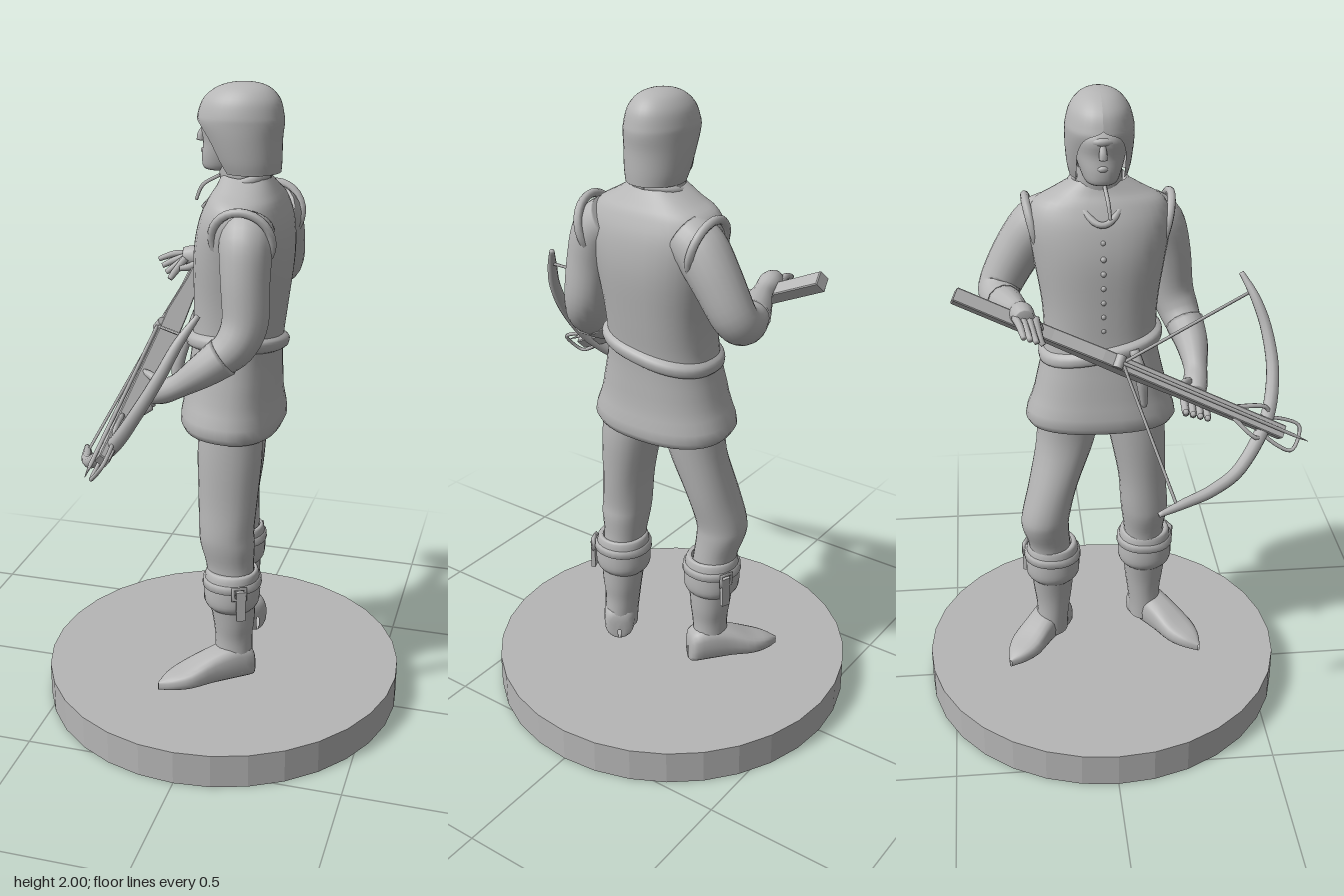
import * as THREE from 'three';

const grey = new THREE.MeshStandardMaterial({ color: 0xb6b6b6, side: THREE.DoubleSide });
grey.name = 'stone grey';
const V = (p) => new THREE.Vector3(p[0], p[1], p[2]);
const bend = (v, n) => Math.sign(v) * Math.pow(Math.abs(v), n);

function mesh(name, geometry, parent) {
  const m = new THREE.Mesh(geometry, grey);
  m.name = name;
  parent.add(m);
  return m;
}

// Flat facets for hard-edged parts
function faceted(geometry) {
  const g = geometry.index ? geometry.toNonIndexed() : geometry;
  g.computeVertexNormals();
  return g;
}

// Skin over rings of equal point count
function skin(rings, closed = true) {
  const n = rings[0].length, pos = [], idx = [];
  rings.forEach((r) => r.forEach((p) => pos.push(p.x, p.y, p.z)));
  for (let i = 0; i < rings.length - 1; i++) {
    for (let j = 0; j < (closed ? n : n - 1); j++) {
      const k = (j + 1) % n, a = i * n + j, b = i * n + k;
      idx.push(a, b, a + n, b, b + n, a + n);
    }
  }
  const g = new THREE.BufferGeometry();
  g.setAttribute('position', new THREE.Float32BufferAttribute(pos, 3));
  g.setIndex(idx);
  g.computeVertexNormals();
  return g;
}

// Smooth in-between rows of a table of sections
function refine(rows, steps) {
  const out = [], at = (i) => rows[Math.min(Math.max(i, 0), rows.length - 1)];
  for (let i = 0; i < rows.length - 1; i++) {
    for (let s = 0; s < steps; s++) {
      const t = s / steps;
      out.push(rows[i].map((b, c) => {
        const a = at(i - 1)[c], d = at(i + 1)[c], e = at(i + 2)[c];
        return b + 0.5 * t * (d - a + t * (2 * a - 5 * b + 4 * d - e + t * (3 * (b - d) + e - a)));
      }));
    }
  }
  out.push(at(rows.length - 1));
  return out;
}

// Upright body from rows [y, cx, cz, rx, rz, gap]; the gap opens the -x side
function body(rows, { steps = 4, power = 0.85, tiltX = 0, tiltZ = 0, open = false, n = 36 } = {}) {
  const rings = refine(rows, steps).map(([y, cx, cz, rx, rz, gap = 0]) => {
    const ring = [], g = Math.max(gap, 0);
    for (let j = 0; j < n; j++) {
      const a = open ? g + (2 * Math.PI - 2 * g) * j / (n - 1) : 2 * Math.PI * j / n;
      const x = cx - rx * bend(Math.cos(a), power), z = cz + rz * bend(Math.sin(a), power);
      ring.push(new THREE.Vector3(x, y + tiltX * (x - cx) + tiltZ * (z - cz), z));
    }
    return ring;
  });
  return skin(rings, !open);
}

// Round limb through points [x, y, z, radius], closed at both ends
function limb(points, n = 14, steps = 5) {
  const rows = refine(points, steps), rings = [];
  const side = new THREE.Vector3(), up = new THREE.Vector3();
  rows.forEach((r, i) => {
    const d = V(rows[Math.min(i + 1, rows.length - 1)]).sub(V(rows[Math.max(i - 1, 0)])).normalize();
    if (i === 0) side.set(0.31, 0.22, 0.92);
    side.addScaledVector(d, -side.dot(d)).normalize();
    up.crossVectors(d, side);
    const ring = (rad) => Array.from({ length: n }, (_, j) => {
      const a = 2 * Math.PI * j / n;
      return V(r).addScaledVector(side, rad * Math.cos(a)).addScaledVector(up, rad * Math.sin(a));
    });
    if (i === 0) rings.push(ring(0));
    rings.push(ring(r[3]));
    if (i === rows.length - 1) rings.push(ring(0));
  });
  return skin(rings);
}

// Pointed shoe from heel to toe, flat on its sole
function shoe(heel, toe) {
  const h = V(heel), d = V(toe).sub(h), len = d.length();
  d.normalize();
  const s = new THREE.Vector3(-d.z, 0, d.x);
  const rows = refine([[0, 0.005, 0.05], [0.03, 0.045, 0.1], [0.2, 0.052, 0.12], [0.45, 0.052, 0.1],
    [0.7, 0.055, 0.065], [0.88, 0.035, 0.045], [1, 0.004, 0.025]], 3);
  return skin(rows.map(([t, w, top]) => Array.from({ length: 18 }, (_, j) => {
    const a = 2 * Math.PI * j / 18;
    return h.clone().addScaledVector(d, t * len).addScaledVector(s, w * bend(Math.cos(a), 0.7))
      .add(new THREE.Vector3(0, top * (0.5 + 0.5 * bend(Math.sin(a), 0.7)), 0));
  })));
}

function buildHead(root) {
  const head = new THREE.Group();
  head.name = 'head';
  root.add(head);
  mesh('hood', body([[1.745, 0.08, 0, 0.09, 0.085, 0.95], [1.78, 0.072, 0, 0.1, 0.093, 0.85],
    [1.84, 0.058, 0, 0.115, 0.099, 0.75], [1.885, 0.05, 0, 0.128, 0.1, 0.5], [1.91, 0.05, 0, 0.126, 0.098, 0],
    [1.95, 0.053, 0, 0.113, 0.086, 0], [1.98, 0.058, 0, 0.083, 0.062, 0], [1.995, 0.062, 0, 0.045, 0.033, 0],
    [2, 0.063, 0, 0.001, 0.001, 0]], { power: 1, open: true }), head);
  mesh('face', body([[1.745, -0.02, 0, 0.015, 0.02], [1.752, -0.005, 0, 0.055, 0.045], [1.785, 0.02, 0, 0.085, 0.062],
    [1.83, 0.035, 0, 0.095, 0.075], [1.88, 0.04, 0, 0.105, 0.08], [1.92, 0.04, 0, 0.07, 0.06]], { power: 0.9 }), head);
  mesh('nose', limb([[-0.058, 1.868, 0, 0.008], [-0.068, 1.845, 0, 0.012], [-0.07, 1.828, 0, 0.013]], 8), head);
  mesh('mouth', limb([[-0.045, 1.797, -0.022, 0.005], [-0.062, 1.799, 0, 0.009], [-0.045, 1.797, 0.022, 0.005]], 8), head);
  mesh('brow', limb([[-0.03, 1.87, -0.055, 0.008], [-0.06, 1.876, 0, 0.012], [-0.03, 1.87, 0.055, 0.008]], 8), head);
  mesh('neck', body([[1.66, 0.06, 0, 0.06, 0.07], [1.78, 0.05, 0, 0.065, 0.065]]), head);
}

function buildTorso(root) {
  mesh('tunic', body([[0.965, 0.035, 0, 0.01, 0.01], [0.965, 0.035, 0, 0.145, 0.222], [1.08, 0.036, 0, 0.142, 0.205],
    [1.22, 0.045, 0, 0.132, 0.175], [1.35, 0.055, 0, 0.137, 0.175], [1.5, 0.065, 0, 0.144, 0.198],
    [1.6, 0.072, 0, 0.132, 0.212], [1.665, 0.075, 0, 0.108, 0.195], [1.7, 0.075, 0, 0.088, 0.14],
    [1.735, 0.07, 0, 0.07, 0.08]], { tiltX: -0.08 }), root);
  mesh('collar', limb([[0.13, 1.735, 0, 0.014], [0.1, 1.73, 0.07, 0.014], [0.02, 1.7, 0.075, 0.013],
    [-0.05, 1.64, 0.025, 0.01], [-0.05, 1.64, -0.025, 0.01], [0.02, 1.7, -0.075, 0.013],
    [0.1, 1.73, -0.07, 0.014], [0.13, 1.735, 0, 0.014]], 8), root);
  mesh('neckTie', limb([[-0.01, 1.73, 0.01, 0.006], [-0.06, 1.7, 0.015, 0.006], [-0.08, 1.655, 0.02, 0.005]], 6), root);
  mesh('sash', body([[1.205, 0.045, 0, 0.13, 0.17], [1.215, 0.045, 0, 0.147, 0.188],
    [1.24, 0.047, 0, 0.149, 0.188], [1.255, 0.048, 0, 0.13, 0.17]], { tiltZ: 0.18 }), root);
  mesh('sashTail', limb([[-0.09, 1.25, 0.09, 0.015], [-0.115, 1.17, 0.11, 0.02], [-0.11, 1.07, 0.12, 0.01]], 8), root);
  for (let i = 0; i < 8; i++) {
    const button = mesh('button', new THREE.SphereGeometry(0.009, 8, 6), root);
    button.position.set(-0.078 + 0.03 * Math.max(0, (i - 5) / 2), 1.31 + i * 0.045, 0);
  }
  // Vest edges around the armholes
  for (const s of [1, -1]) {
    const rim = mesh('armholeRim', new THREE.TorusGeometry(0.088, 0.013, 8, 28), root);
    rim.position.set(0.105, 1.585, 0.195 * s);
    rim.rotation.x = 0.25 * s;
  }
}

function buildArms(root) {
  mesh('leftSleeve', limb([[0.11, 1.61, 0.14, 0.075], [0.115, 1.57, 0.185, 0.078], [0.12, 1.48, 0.212, 0.072],
    [0.125, 1.36, 0.228, 0.068], [0.1, 1.29, 0.25, 0.062], [0.05, 1.245, 0.268, 0.052]], 20), root);
  mesh('leftGlove', limb([[0.07, 1.26, 0.265, 0.06], [0.01, 1.215, 0.28, 0.05], [-0.06, 1.165, 0.282, 0.036],
    [-0.11, 1.14, 0.275, 0.037], [-0.15, 1.125, 0.27, 0.03]]), root);
  mesh('rightSleeve', limb([[0.11, 1.61, -0.13, 0.075], [0.115, 1.58, -0.18, 0.08], [0.12, 1.5, -0.24, 0.074],
    [0.11, 1.4, -0.295, 0.066], [0.06, 1.37, -0.3, 0.06], [-0.01, 1.375, -0.28, 0.05]], 20), root);
  mesh('rightGlove', limb([[0.01, 1.372, -0.287, 0.056], [-0.05, 1.385, -0.268, 0.045], [-0.11, 1.4, -0.25, 0.031],
    [-0.16, 1.41, -0.242, 0.036], [-0.2, 1.41, -0.235, 0.028]]), root);
  for (let i = 0; i < 4; i++) {
    // Fingers wrapped under the stock, and the free hand's loose fingers
    const z = 0.235 + i * 0.022;
    mesh('leftFinger', limb([[-0.14, 1.11 - i * 0.004, z, 0.012], [-0.19, 1.085 - i * 0.006, z, 0.011],
      [-0.225, 1.105 - i * 0.008, z - 0.005, 0.009]], 8, 4), root);
    const c = i * 0.016, r = -0.262 + i * 0.019;
    mesh('rightFinger', limb([[-0.185, 1.41, r, 0.012], [-0.235 + c * 0.3, 1.41 - c, r + 0.01, 0.011],
      [-0.285 + c * 1.1, 1.392 - c, r + 0.02, 0.008]], 8, 4), root);
  }
  mesh('leftThumb', limb([[-0.12, 1.15, 0.255, 0.015], [-0.16, 1.17, 0.235, 0.012], [-0.2, 1.175, 0.215, 0.009]], 8), root);
  mesh('rightThumb', limb([[-0.13, 1.4, -0.225, 0.015], [-0.17, 1.385, -0.2, 0.012], [-0.2, 1.38, -0.19, 0.009]], 8), root);
}

function buildLegs(root) {
  mesh('leftTrouser', body([[1.02, 0.05, 0.1, 0.095, 0.1], [0.9, 0.052, 0.118, 0.1, 0.09], [0.75, 0.05, 0.135, 0.092, 0.077],
    [0.65, 0.048, 0.143, 0.086, 0.077], [0.6, 0.052, 0.145, 0.085, 0.074], [0.53, 0.06, 0.145, 0.075, 0.065],
    [0.46, 0.065, 0.15, 0.075, 0.065]], { power: 0.95, n: 24 }), root);
  mesh('rightTrouser', body([[1.02, 0.03, -0.1, 0.09, 0.1], [0.9, 0.025, -0.112, 0.085, 0.092], [0.75, 0.0, -0.155, 0.09, 0.078],
    [0.65, -0.015, -0.18, 0.086, 0.077], [0.6, -0.012, -0.184, 0.082, 0.076], [0.53, 0, -0.172, 0.073, 0.068],
    [0.46, 0.005, -0.165, 0.075, 0.068]], { power: 0.95, n: 24 }), root);
  // Boots: folded cuff, shaft, shoe, strap and buckle
  for (const [name, x, z, s, heel, toe] of [
    ['left', 0.068, 0.15, 1, [0.13, 0.14, 0.125], [-0.13, 0.14, 0.315]],
    ['right', 0.008, -0.162, -1, [0.085, 0.14, -0.125], [-0.155, 0.14, -0.315]]]) {
    mesh(name + 'BootCuff', body([[0.52, x, z, 0.07, 0.062], [0.515, x, z, 0.082, 0.08], [0.46, x, z, 0.088, 0.088],
      [0.41, x, z, 0.085, 0.086], [0.385, x, z, 0.065, 0.065]], { power: 0.95, n: 24 }), root);
    mesh(name + 'BootShaft', body([[0.42, x, z, 0.075, 0.072], [0.34, x + 0.006, z, 0.066, 0.064], [0.28, x + 0.006, z, 0.06, 0.056],
      [0.22, x + 0.008, z + s * 0.004, 0.06, 0.053], [0.17, x + 0.01, z + s * 0.006, 0.06, 0.053]], { power: 1, n: 20 }), root);
    mesh(name + 'Shoe', shoe(heel, toe), root);
    mesh(name + 'Strap', body([[0.465, x, z, 0.08, 0.08], [0.47, x, z, 0.093, 0.093], [0.492, x, z, 0.092, 0.091],
      [0.497, x, z, 0.08, 0.08]], { power: 0.95, n: 24, steps: 1 }), root);
    const buckle = mesh(name + 'Buckle', new THREE.TorusGeometry(0.026, 0.008, 4, 4, Math.PI * 2), root);
    buckle.position.set(x + 0.045, 0.475, z + s * 0.085);
    buckle.rotation.set(0, s * 0.4, Math.PI / 4);
    const tab = mesh(name + 'StrapEnd', faceted(new THREE.BoxGeometry(0.028, 0.1, 0.014)), root);
    tab.position.set(x + 0.05, 0.435, z + s * 0.085);
    tab.rotation.y = s * 0.4;
  }
}

function buildCrossbow(root) {
  const bow = new THREE.Group();
  bow.name = 'crossbow';
  root.add(bow);
  // Local frame: x along the stock, y out of its top, z across
  const frame = new THREE.Group(), rear = V([-0.135, 1.465, -0.43]);
  frame.name = 'stockFrame';
  const d = V([-0.21, 1.01, 0.53]).sub(rear).normalize();
  const s = V([-0.45, -0.56, -0.3]);
  s.addScaledVector(d, -s.dot(d)).normalize();
  frame.quaternion.setFromRotationMatrix(new THREE.Matrix4().makeBasis(d, new THREE.Vector3().crossVectors(s, d), s));
  frame.position.copy(rear);
  bow.add(frame);
  const side = new THREE.Shape([[0, -0.022], [0.3, -0.02], [0.45, -0.03], [0.55, -0.034], [0.7, -0.02], [1.06, -0.014],
    [1.06, 0.014], [0.55, 0.026], [0.46, 0.03], [0.3, 0.02], [0, 0.02]].map((p) => new THREE.Vector2(...p)));
  const stock = new THREE.ExtrudeGeometry(side, { depth: 0.036, bevelEnabled: true, bevelSize: 0.003, bevelThickness: 0.003, bevelSegments: 1 });
  mesh('stock', faceted(stock.translate(0, 0, -0.018)), frame);
  mesh('bolt', limb([[0.52, 0.034, 0, 0.006], [1.09, 0.026, 0, 0.006], [1.14, 0.024, 0, 0.001]], 6, 1), frame);
  mesh('trigger', limb([[0.56, -0.03, 0, 0.007], [0.5, -0.055, 0, 0.007], [0.38, -0.05, 0, 0.006]], 6), frame);
  mesh('nut', new THREE.CylinderGeometry(0.016, 0.016, 0.04, 12).rotateX(Math.PI / 2).translate(0.51, 0.028, 0), frame);
  mesh('stirrup', limb([[0.98, 0, -0.02, 0.006], [1.06, 0, -0.042, 0.006], [1.11, 0, -0.036, 0.006], [1.11, 0, 0.036, 0.006],
    [1.06, 0, 0.042, 0.006], [0.98, 0, 0.02, 0.006]], 6), frame);
  for (const k of [-1, 1]) mesh('binding', limb([[0.9, 0.01, 0.018 * k, 0.008], [0.98, 0.015, 0.05 * k, 0.007], [1.02, -0.01, 0.018 * k, 0.007]], 6), frame);
  mesh('bowLimbs', limb([[0.045, 1.43, 0.43, 0.008], [0, 1.36, 0.47, 0.015], [-0.045, 1.27, 0.5, 0.018],
    [-0.11, 1.16, 0.51, 0.02], [-0.19, 1.045, 0.48, 0.022], [-0.29, 0.945, 0.39, 0.02], [-0.345, 0.905, 0.3, 0.018],
    [-0.38, 0.885, 0.21, 0.015], [-0.412, 0.87, 0.13, 0.008]], 10), bow);
  for (const tip of [[0.015, 1.375, 0.45], [-0.385, 0.885, 0.185]]) {
    mesh('string', limb([[...tip, 0.005], [-0.195, 1.26, 0.045, 0.005]], 6, 1), bow);
  }
}

export function createModel() {
  const root = new THREE.Group();
  root.name = 'hoodedCrossbowman';
  const base = mesh('base', faceted(new THREE.CylinderGeometry(0.58, 0.58, 0.11, 32)), root);
  base.position.y = 0.055;
  buildHead(root);
  buildTorso(root);
  buildArms(root);
  buildLegs(root);
  buildCrossbow(root);
  return root;
}
